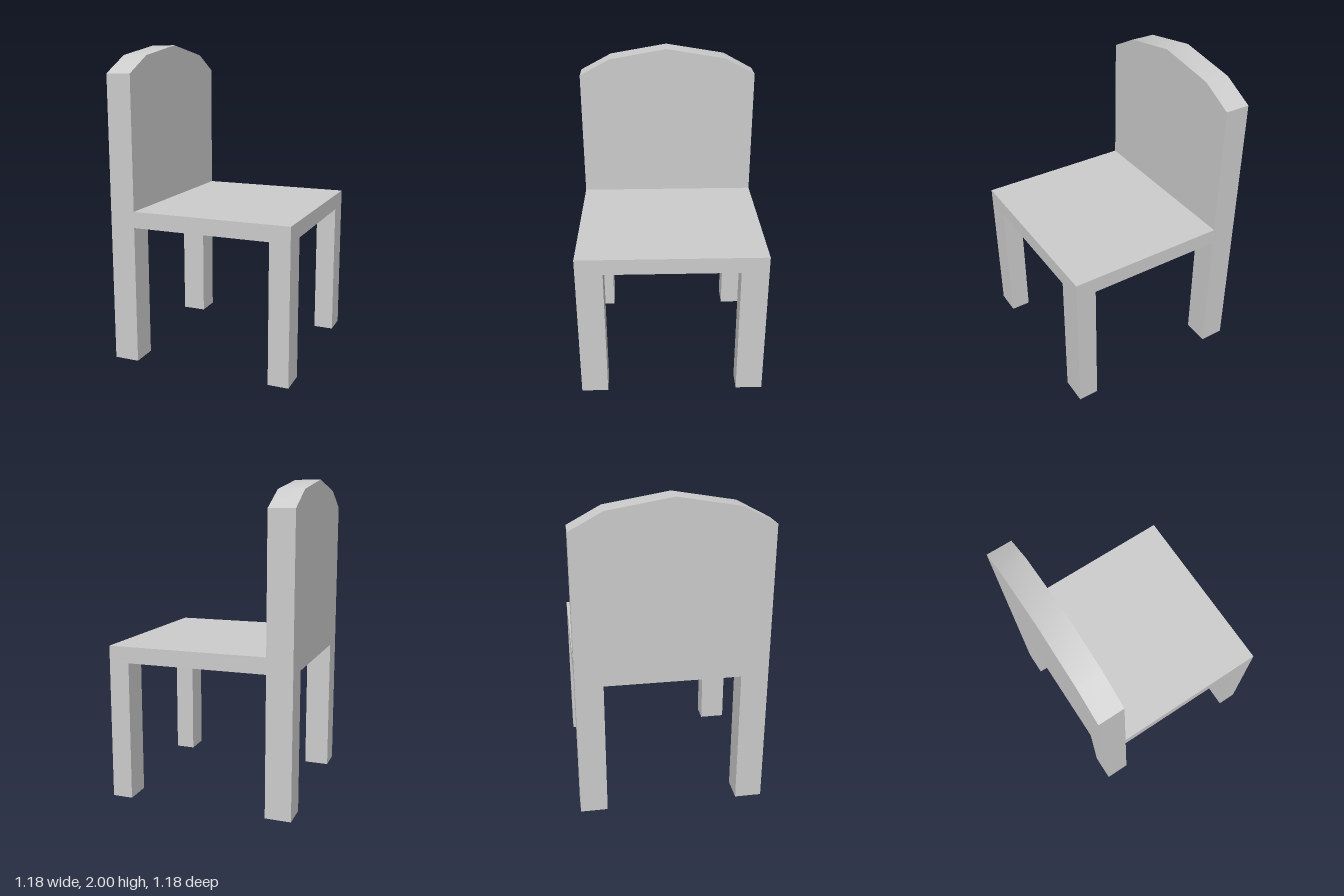
import * as THREE from 'three';
import { toCreasedNormals } from 'three/addons/utils/BufferGeometryUtils.js';

const HALF = 0.59;          // half width and half depth of the chair
const LEG_Z = 0.17;         // leg size across the chair
const SEAT_BOTTOM = 0.882, SEAT_TOP = 0.985;
const BACK_FRONT = -0.428;  // x of the backrest's front face

export function createModel() {
  const group = new THREE.Group();
  group.name = 'chair';
  const material = new THREE.MeshStandardMaterial({ color: 0xcccccc });

  const add = (name, geometry) => {
    const mesh = new THREE.Mesh(geometry, material);
    mesh.name = name;
    group.add(mesh);
    return mesh;
  };
  const addBox = (name, x0, x1, y0, y1, z0, z1) =>
    add(name, new THREE.BoxGeometry(x1 - x0, y1 - y0, z1 - z0))
      .position.set((x0 + x1) / 2, (y0 + y1) / 2, (z0 + z1) / 2);

  // Arched backrest and rear legs, one outline (z, y) extruded along x
  const inner = HALF - LEG_Z;
  const outline = new THREE.Shape([
    [-HALF, 0], [-inner, 0], [-inner, SEAT_BOTTOM],
    [inner, SEAT_BOTTOM], [inner, 0], [HALF, 0],
    [HALF, 1.827], [0.385, 1.935], [0.005, 2], [-0.39, 1.935], [-HALF, 1.827],
  ].map(([z, y]) => new THREE.Vector2(z, y)));
  const back = new THREE.ExtrudeGeometry(outline, { depth: HALF + BACK_FRONT, bevelEnabled: false });
  back.rotateY(-Math.PI / 2).translate(BACK_FRONT, 0, 0);
  add('backrestAndRearLegs', toCreasedNormals(back, 0.6));

  // Seat slab
  addBox('seat', BACK_FRONT, HALF, SEAT_BOTTOM, SEAT_TOP, -HALF, HALF);

  // Front legs, mirrored across z
  for (const side of [-1, 1]) {
    const z = side * (HALF - LEG_Z / 2);
    addBox('frontLeg', 0.46, HALF, 0, SEAT_BOTTOM, z - LEG_Z / 2, z + LEG_Z / 2);
  }
  return group;
}
